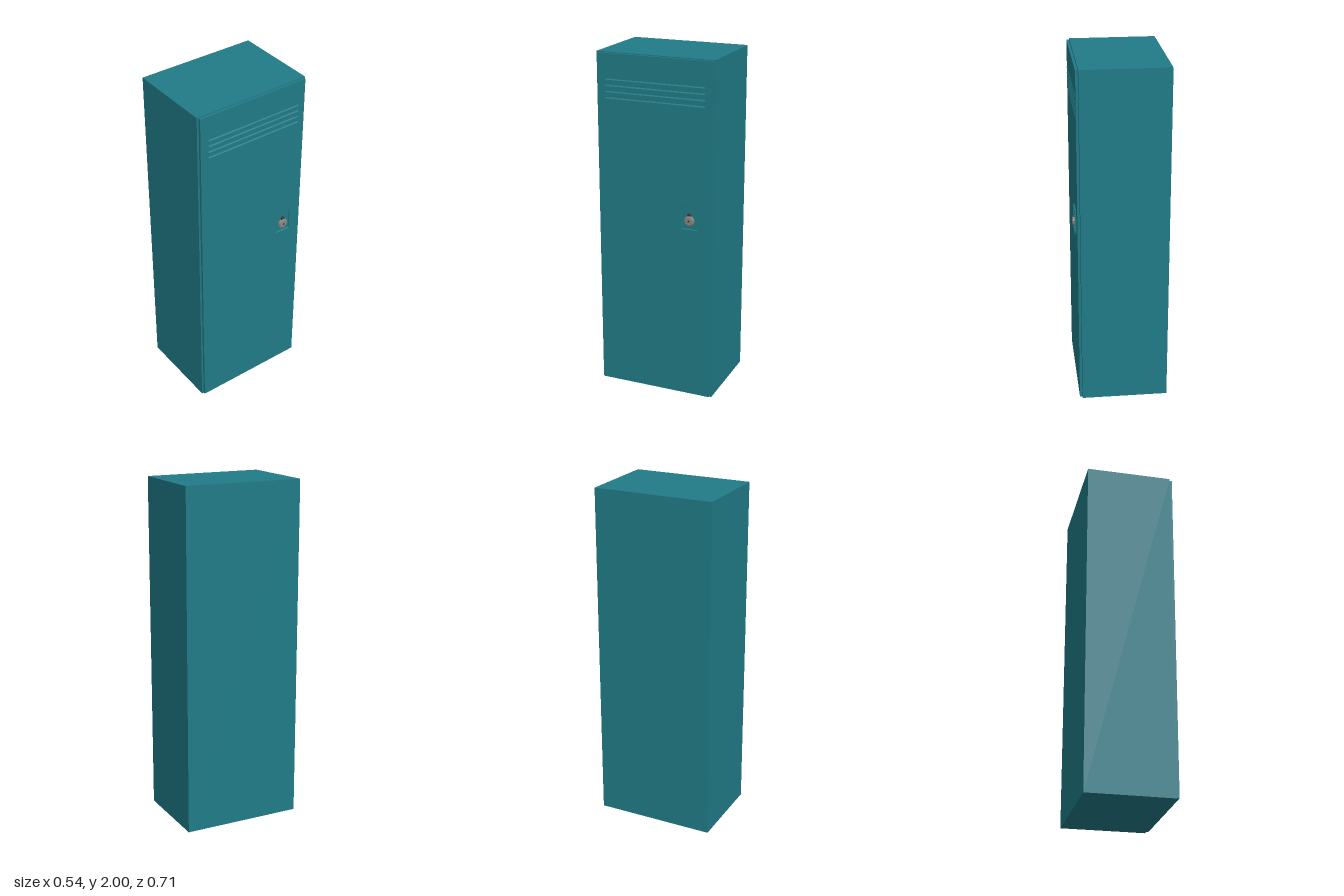
import * as THREE from 'three';
import { toCreasedNormals } from 'three/addons/utils/BufferGeometryUtils.js';

export function createModel() {
  const locker = new THREE.Group();
  locker.name = 'locker';
  const paint = new THREE.MeshStandardMaterial({ color: 0x207c88 });
  const steel = new THREE.MeshStandardMaterial({ color: 0x8c8785 });
  const dark = new THREE.MeshStandardMaterial({ color: 0x3a3636 });

  const add = (name, geometry, material, x, y, z, parent = locker) => {
    const mesh = new THREE.Mesh(geometry, material);
    mesh.name = name;
    mesh.position.set(x, y, z);
    parent.add(mesh);
    return mesh;
  };
  // Turned profile [radius, height] whose axis points out of the door (+x)
  const turned = (profile, sides, start = 0) => {
    const points = profile.map(([r, h]) => new THREE.Vector2(r, h));
    const g = new THREE.LatheGeometry(points, sides, start).rotateZ(-Math.PI / 2);
    return toCreasedNormals(g, 0.5);
  };

  // Cabinet and its door, separated by a narrow gap
  add('cabinet', new THREE.BoxGeometry(0.502, 2, 0.706), paint, -0.021, 1, 0);
  add('door', new THREE.BoxGeometry(0.014, 1.99, 0.686), paint, 0.239, 1, 0);

  // Hooded vent slats: sloping top, flat underside
  const hood = new THREE.Shape();
  hood.moveTo(0, -0.005);
  hood.lineTo(0.005, -0.005);
  hood.lineTo(0.005, -0.002);
  hood.lineTo(0, 0.005);
  const slat = new THREE.ExtrudeGeometry(hood, { depth: 0.595, bevelEnabled: false });
  slat.translate(0, 0, -0.3);
  for (let i = 0; i < 4; i++) add('ventSlat', slat, paint, 0.2455, 1.744 + i * 0.035, 0);

  // Lock plate: flared rectangular rim around a recessed floor
  const lock = new THREE.Group();
  lock.name = 'lock';
  lock.position.set(0.246, 1.09, -0.217);
  locker.add(lock);
  const s = Math.SQRT2;
  const plate = turned([[0.84 * s, 0], [s, 0.011], [0.86 * s, 0.011], [0.82 * s, 0.004], [0, 0.004]], 4, Math.PI / 4);
  plate.scale(1, 0.077, 0.055);
  plate.computeVertexNormals();
  add('lockPlate', plate, paint, 0, 0.013, 0, lock);

  // Dial with a stepped face and a small central grip
  add('dialBase', turned([[0.029, 0.003], [0.029, 0.016], [0.025, 0.018], [0, 0.018]], 32), steel, 0, 0, 0, lock);
  add('dialFace', turned([[0.022, 0.017], [0.021, 0.02], [0, 0.02]], 32), steel, 0, 0, 0, lock);
  add('dialGrip', turned([[0.006, 0.019], [0.006, 0.023], [0.004, 0.024], [0, 0.024]], 16), dark, 0, 0, 0, lock);

  // Key cylinder above the dial
  add('keyCylinder', turned([[0.012, 0.003], [0.012, 0.011], [0.009, 0.013], [0, 0.013]], 20), dark, 0, 0.032, 0, lock);

  return locker;
}
